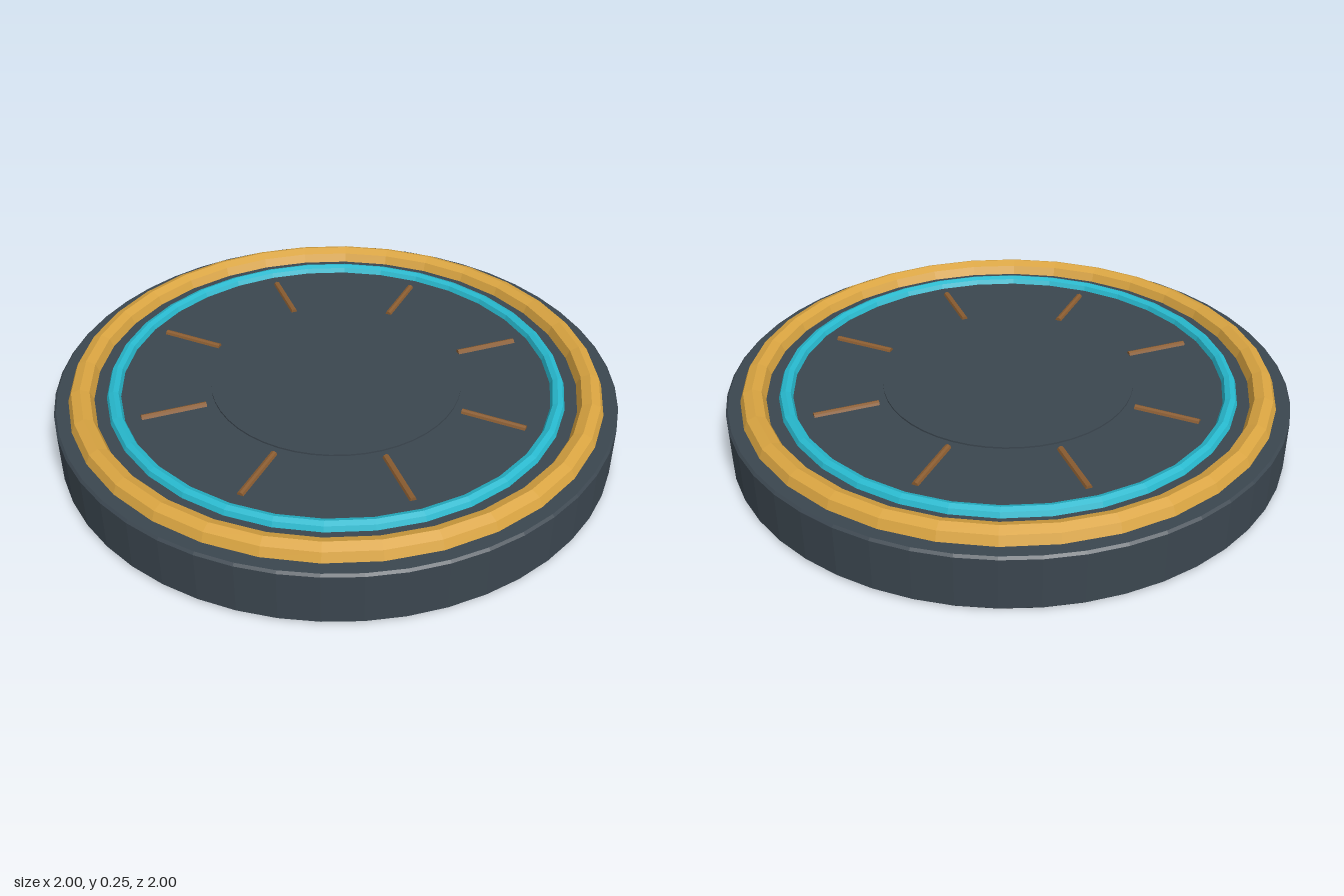
import * as THREE from 'three';

const mat = (name, color, flat = true) => {
  const m = new THREE.MeshStandardMaterial({ color, flatShading: flat });
  m.name = name;
  return m;
};

export function createModel() {
  const group = new THREE.Group();
  const slate = mat('slate', 0x3b464f);
  const gold = mat('gold', 0xd9a441);
  const cyan = mat('cyan', 0x27b8cd);
  const bronze = mat('bronze', 0x8a5c30);
  const TOP = 0.2;

  const add = (name, geometry, material, y = 0) => {
    const mesh = new THREE.Mesh(geometry, material);
    mesh.name = name;
    mesh.position.y = y;
    group.add(mesh);
    return mesh;
  };

  // Disc with finely bevelled rims
  const b = 0.008;
  const profile = [[0, 0], [1 - b, 0], [1, b], [1, TOP - b], [1 - b, TOP], [0, TOP]]
    .map(([r, y]) => new THREE.Vector2(r, y));
  add('base', new THREE.LatheGeometry(profile, 48), slate);

  // Slightly raised hub
  add('hub', new THREE.CylinderGeometry(0.45, 0.45, 0.012, 48), slate, TOP);

  // Half-sunken rings
  const ring = (name, radius, tube, material) =>
    add(name, new THREE.TorusGeometry(radius, tube, 8, 32).rotateX(Math.PI / 2), material, TOP);
  ring('outerRing', 0.905, 0.045, gold);
  ring('innerRing', 0.792, 0.025, cyan);

  // Radial rods around the hub
  const rod = new THREE.CylinderGeometry(0.012, 0.012, 0.23, 8)
    .rotateZ(Math.PI / 2).translate(0.597, 0, 0);
  for (let i = 0; i < 8; i++) {
    add('rod' + (i + 1), rod, bronze, TOP).rotation.y = i * Math.PI / 4;
  }
  return group;
}
